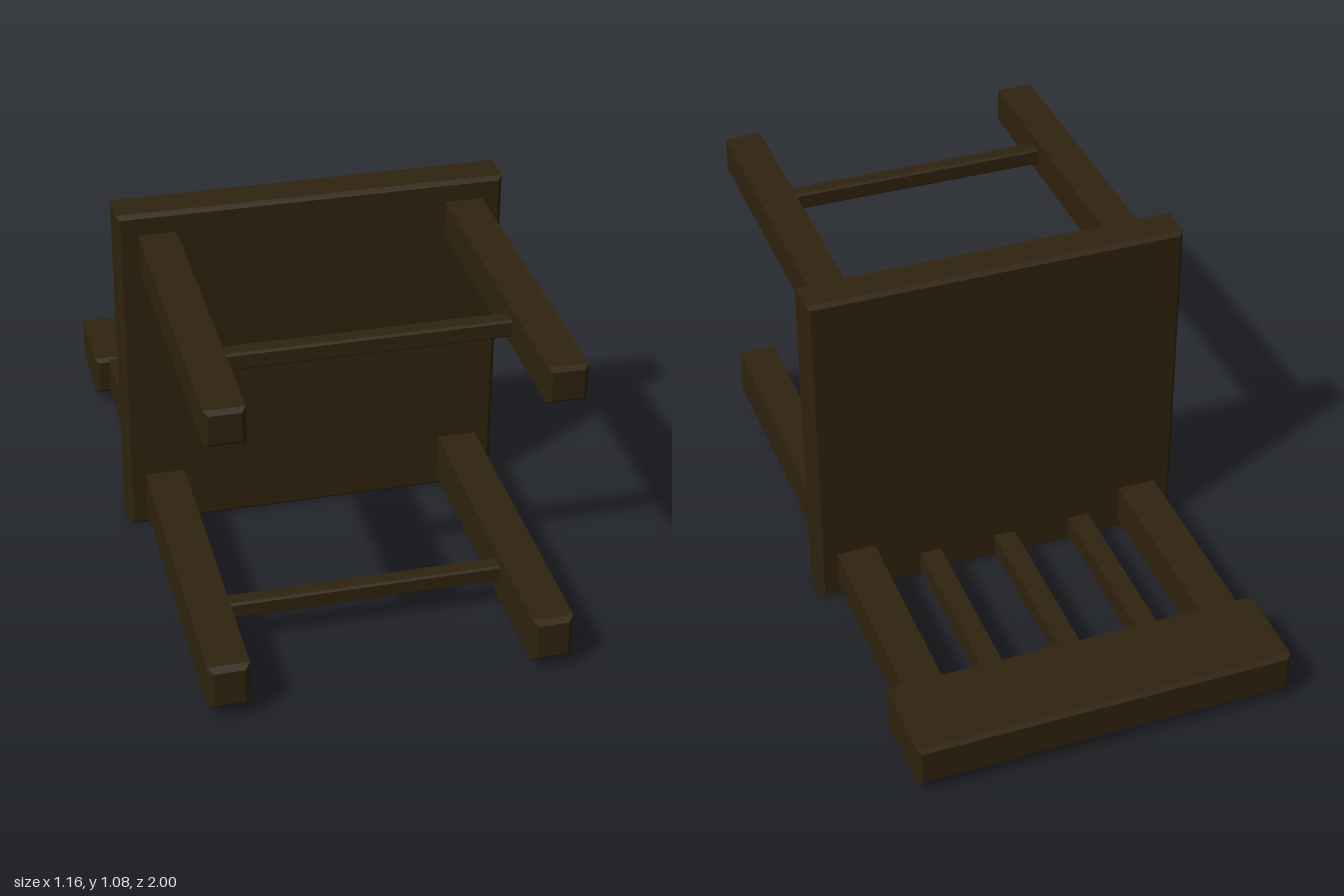
import * as THREE from 'three';

// Box between two corners with chamfered edges
function chamferBox(x0, x1, y0, y1, z0, z1, b) {
  const shape = new THREE.Shape();
  shape.moveTo(x0 + b, y0 + b);
  shape.lineTo(x1 - b, y0 + b);
  shape.lineTo(x1 - b, y1 - b);
  shape.lineTo(x0 + b, y1 - b);
  shape.closePath();
  const geometry = new THREE.ExtrudeGeometry(shape, {
    depth: z1 - z0 - 2 * b, bevelEnabled: true, bevelSize: b, bevelThickness: b, bevelSegments: 1,
  });
  return geometry.translate(0, 0, z0 + b);
}

export function createModel() {
  const chair = new THREE.Group();
  chair.name = 'chairLyingOnItsBack';
  const wood = new THREE.MeshStandardMaterial({ color: 0x30230f });
  wood.name = 'darkWood';

  const add = (name, x0, x1, y0, y1, z0, z1, b = 0.012) => {
    const mesh = new THREE.Mesh(chamferBox(x0, x1, y0, y1, z0, z1, b), wood);
    mesh.name = name;
    chair.add(mesh);
  };

  // Seat panel, standing upright
  add('seat', -0.58, 0.58, 0, 1.075, -0.11, 0.015);

  // Legs and back posts, mirrored left and right
  for (const [side, s] of [['left', 1], ['right', -1]]) {
    const pair = (name, inner, outer, ...rest) =>
      add(side + name, Math.min(s * inner, s * outer), Math.max(s * inner, s * outer), ...rest);
    pair('FrontLeg', 0.405, 0.518, 0.9, 1.01, -0.02, 1);
    pair('BackLeg', 0.405, 0.525, 0.04, 0.18, -0.02, 1, 0.015);
    pair('BackPost', 0.403, 0.523, 0.04, 0.16, -0.74, -0.09);
  }

  // Stretchers between the legs
  add('frontStretcher', -0.42, 0.42, 0.927, 0.98, 0.63, 0.682, 0.006);
  add('backStretcher', -0.42, 0.42, 0.097, 0.15, 0.63, 0.682, 0.006);

  // Backrest: top rail and slats stopping short of the seat
  add('topRail', -0.57, 0.57, 0.035, 0.165, -1, -0.715);
  for (const x of [-0.245, 0, 0.242]) {
    add('backSlat', x - 0.033, x + 0.033, 0.068, 0.134, -0.74, -0.15);
  }
  return chair;
}
